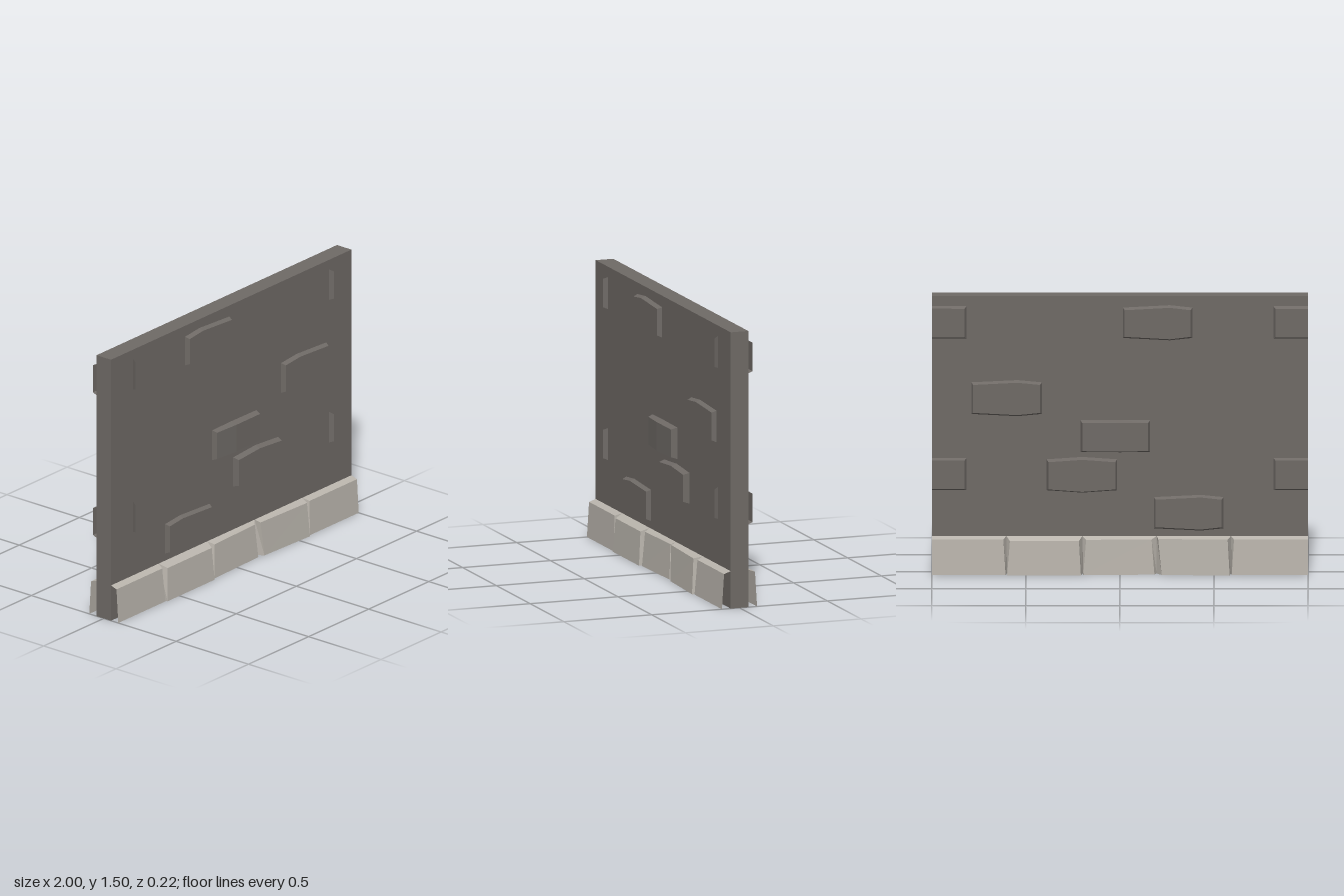
import * as THREE from 'three';

const HALF = 0.05; // half the wall thickness

const material = (color) =>
  new THREE.MeshStandardMaterial({ color, flatShading: true, side: THREE.DoubleSide });

// Flat-shaded mesh from quads of [x, y, z] corners, mirrored to the back when side is -1
function quadMesh(name, quads, mat, side = 1) {
  const pos = [];
  for (const [a, b, c, d] of quads) {
    const tris = side > 0 ? [a, b, c, a, c, d] : [a, c, b, a, d, c];
    for (const p of tris) pos.push(p[0], p[1], p[2] * side);
  }
  const geo = new THREE.BufferGeometry();
  geo.setAttribute('position', new THREE.Float32BufferAttribute(pos, 3));
  geo.computeVertexNormals();
  const mesh = new THREE.Mesh(geo, mat);
  mesh.name = name;
  return mesh;
}

// Quads joining the wall outline to the raised outline, leaving out the listed edges
function rim(wall, face, skip = []) {
  return wall
    .map((p, i) => {
      const j = (i + 1) % wall.length;
      return [p, wall[j], face[j], face[i]];
    })
    .filter((_, i) => !skip.includes(i));
}

// Six-cornered brick with bevelled edges; xm is where its top and bottom edges bend
function brickQuads({ x0, x1, xm, y0, y1, bend, z0, zm, z1 }) {
  const outline = (inset, depths) => {
    const [a, m, b] = depths;
    const l = x0 + inset, r = x1 - inset, lo = y0 + inset, hi = y1 - inset;
    return [
      [l, lo + bend, a], [xm, lo, m], [r, lo + bend, b],
      [r, hi - bend, b], [xm, hi, m], [l, hi - bend, a],
    ];
  };
  const wall = outline(0, [HALF, HALF, HALF]);
  const f = outline(0.01, [z0, zm, z1]);
  return [...rim(wall, f), [f[0], f[1], f[4], f[5]], [f[1], f[2], f[3], f[4]]];
}

export function createModel() {
  const model = new THREE.Group();
  const dark = material(0x6f6a66);
  const light = material(0xb9b4ac);

  // Wall slab
  const wall = new THREE.Mesh(new THREE.BoxGeometry(2, 1.5, 2 * HALF), dark);
  wall.name = 'wall';
  wall.position.y = 0.75;
  model.add(wall);

  // Raised bricks, the same on both faces
  const bricks = [
    { x0: -0.385, x1: -0.015, xm: -0.265, y0: 1.26, y1: 1.45, bend: 0.013, z0: 0.075, zm: 0.075, z1: 0.075 },
    { x0: 0.415, x1: 0.79, xm: 0.545, y0: 0.85, y1: 1.045, bend: 0.012, z0: 0.075, zm: 0.075, z1: 0.075 },
    { x0: -0.16, x1: 0.21, xm: 0.0, y0: 0.655, y1: 0.83, bend: 0.002, z0: 0.077, zm: 0.088, z1: 0.084 },
    { x0: 0.015, x1: 0.39, xm: 0.2, y0: 0.437, y1: 0.63, bend: 0.013, z0: 0.083, zm: 0.083, z1: 0.083 },
    { x0: -0.55, x1: -0.18, xm: -0.43, y0: 0.232, y1: 0.425, bend: 0.012, z0: 0.075, zm: 0.075, z1: 0.075 },
  ];
  for (const side of [1, -1]) {
    for (const b of bricks) model.add(quadMesh(side > 0 ? 'frontBrick' : 'backBrick', brickQuads(b), dark, side));
  }

  // Half bricks at the wall ends: whole on the back, only their end strips on the front
  for (const y of [0.45, 1.27]) {
    for (const s of [1, -1]) {
      const box = (inner, inset, z) => {
        const xs = [inner * s, s].sort((a, b) => a - b);
        const lo = y + inset, hi = y + 0.175 - inset;
        return [[xs[0], lo, z], [xs[1], lo, z], [xs[1], hi, z], [xs[0], hi, z]];
      };
      const base = box(0.815, 0, HALF);
      const face = box(0.826, 0.01, 0.075);
      const openEnd = s > 0 ? 1 : 3;
      const innerEnd = s > 0 ? 3 : 1;
      model.add(quadMesh('backEndBrick', [...rim(base, face, [openEnd]), face], dark, -1));
      model.add(quadMesh('frontBrickEdge', rim(base, face, [0, 2, openEnd, 4].filter((i) => i !== innerEnd)), dark));
    }
  }

  // Footing stones: bottom x, top x, bottom depth at each end, top height
  const stones = [
    { b: [-1, -0.608], t: [-1, -0.62], z: [0.1, 0.1], h: 0.19, open: [3] },
    { b: [-0.6, -0.208], t: [-0.585, -0.218], z: [0.108, 0.108], h: 0.183 },
    { b: [-0.195, 0.183], t: [-0.18, 0.168], z: [0.096, 0.085], h: 0.188 },
    { b: [0.222, 0.583], t: [0.203, 0.572], z: [0.095, 0.11], h: 0.192 },
    { b: [0.594, 1], t: [0.606, 1], z: [0.1, 0.1], h: 0.19, open: [1] },
  ];
  const seams = [-1, -0.604, -0.2, 0.195, 0.59, 1];
  for (const [name, turn] of [['frontFooting', 0], ['backFooting', Math.PI]]) {
    const footing = new THREE.Group();
    footing.name = name;
    footing.rotation.y = turn;
    stones.forEach(({ b, t, z, h, open = [] }, i) => {
      const [l, r] = [seams[i], seams[i + 1]];
      const back = [[l, 0, HALF], [r, 0, HALF], [r, 0.203, HALF], [l, 0.203, HALF]];
      const face = [
        [b[0], 0, z[0]], [b[1], 0, z[1]],
        [t[1], h, z[1] - 0.012], [t[0], h, z[0] - 0.012],
      ];
      footing.add(quadMesh('footingStone', [...rim(back, face, [0, ...open]), face], light));
    });
    model.add(footing);
  }

  return model;
}
